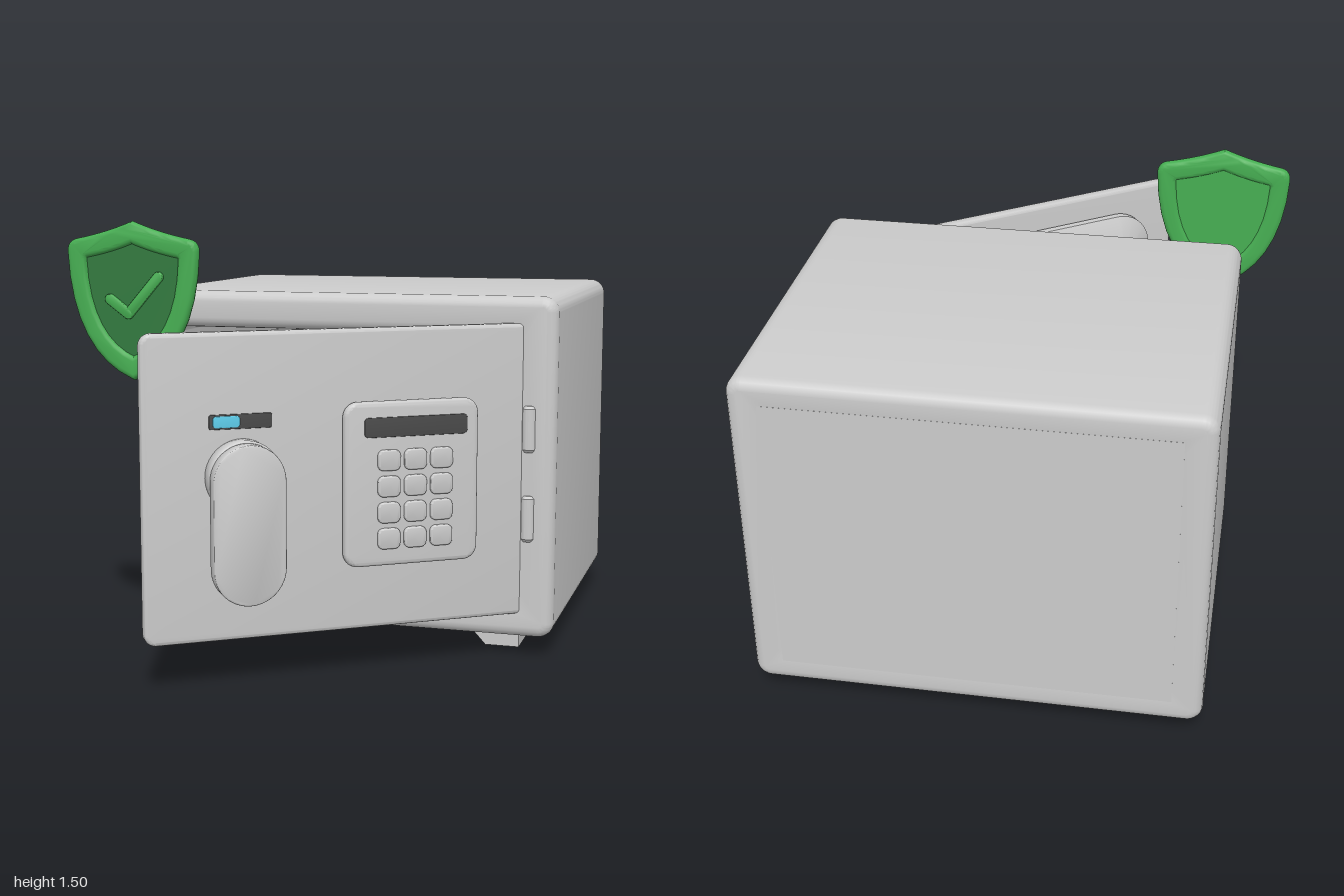
import * as THREE from 'three';
import { toCreasedNormals } from 'three/addons/utils/BufferGeometryUtils.js';

const mat = (color) => new THREE.MeshStandardMaterial({ color });
const GREY = mat(0xcccccc), DARK = mat(0x4a4a4a), BLUE = mat(0x5fd0ee);
const GREEN = mat(0x46ae52), DEEP = mat(0x32793f);

function add(parent, name, geometry, material, x = 0, y = 0, z = 0) {
  const mesh = new THREE.Mesh(geometry, material);
  mesh.name = name;
  mesh.position.set(x, y, z);
  parent.add(mesh);
  return mesh;
}

// Rounded rectangle outline centred on the origin
function roundRect(w, h, r, P = THREE.Shape) {
  const s = new P(), x = w / 2 - r, y = h / 2 - r;
  s.absarc(x, y, r, 0, Math.PI / 2);
  s.absarc(-x, y, r, Math.PI / 2, Math.PI);
  s.absarc(-x, -y, r, Math.PI, Math.PI * 1.5);
  s.absarc(x, -y, r, Math.PI * 1.5, Math.PI * 2);
  s.closePath();
  return s;
}

// Extrusion with bevels on both ends, filling z = 0..d
function extrude(shape, d, bevel, size = bevel, segments = 4) {
  const g = new THREE.ExtrudeGeometry(shape, {
    depth: d - 2 * bevel, bevelEnabled: bevel > 0, bevelThickness: bevel,
    bevelSize: size, bevelSegments: segments, curveSegments: 8,
  });
  g.translate(0, 0, bevel);
  return toCreasedNormals(g, 0.6);
}

// Rounded plate with outer size w x h x d
const plate = (w, h, d, r, b) => extrude(roundRect(w - 2 * b, h - 2 * b, Math.max(r - b, 0.003)), d, b);

// Shield outline with its tip at y = 0, scaled by s and raised by dy
function shield(s, dy, P = THREE.Shape) {
  const p = new P(), X = (v) => v * s, Y = (v) => v * s + dy;
  p.moveTo(X(0), Y(0));
  p.bezierCurveTo(X(0.14), Y(0.055), X(0.235), Y(0.2), X(0.243), Y(0.46));
  p.quadraticCurveTo(X(0.243), Y(0.483), X(0.22), Y(0.487));
  p.quadraticCurveTo(X(0.1), Y(0.51), X(0), Y(0.55));
  p.quadraticCurveTo(X(-0.1), Y(0.51), X(-0.22), Y(0.487));
  p.quadraticCurveTo(X(-0.243), Y(0.483), X(-0.243), Y(0.46));
  p.bezierCurveTo(X(-0.235), Y(0.2), X(-0.14), Y(0.055), X(0), Y(0));
  return p;
}

function buildBody() {
  const body = new THREE.Group();
  body.name = 'body';
  const cx = 0.073, cy = 0.66, b = 0.035;
  // Hollow shell and the wall that closes its back
  const shape = roundRect(1.525 - 2 * b, 1.18 - 2 * b, 0.02);
  shape.holes.push(roundRect(1.226 + 2 * b, 0.92 + 2 * b, 0.06, THREE.Path));
  add(body, 'shell', extrude(shape, 1.23, b), GREY, cx, cy, -1);
  add(body, 'backWall', new THREE.BoxGeometry(1.32, 1.01, 0.1), GREY, cx, cy, -0.9505);
  // Feet, sloped on the inner side
  for (const side of [-1, 1]) for (const z of [-0.863, -0.08]) {
    const foot = new THREE.Shape([[0.625, 0], [0.625, 0.09], [0.42, 0.09], [0.44, 0.07], [0.505, 0]]
      .map(([x, y]) => new THREE.Vector2(x * side, y)));
    add(body, 'foot', extrude(foot, 0.185, 0), GREY, cx, 0, z);
  }
  // Hinge barrels
  const profile = [[0, -0.08], [0.018, -0.08], [0.025, -0.07], [0.025, 0.07], [0.018, 0.08], [0, 0.08]]
    .map(([x, y]) => new THREE.Vector2(x, y));
  for (const y of [0.49, 0.8]) {
    add(body, 'hinge', toCreasedNormals(new THREE.LatheGeometry(profile, 20), 0.6), GREY, 0.743, y, 0.218);
  }
  return body;
}

// Door built with its hinge edge at x = 0 and its front face at z = 0
function buildDoor() {
  const door = new THREE.Group();
  door.name = 'door';
  add(door, 'doorPanel', plate(1.345, 1.005, 0.045, 0.04, 0.012), GREY, -0.6725, 0.6575, -0.045);

  // Sloped inner panel, its front flattened into the door
  const inner = extrude(roundRect(0.87, 0.59, 0.03), 0.14, 0.056, 0.115, 1);
  const p = inner.attributes.position;
  for (let i = 0; i < p.count; i++) p.setZ(i, Math.min(p.getZ(i), 0.11));
  add(door, 'innerPanel', toCreasedNormals(inner, 0.5), GREY, -0.67, 0.6575, -0.141);

  // Locking bolts
  for (const y of [0.53, 0.73]) {
    add(door, 'bolt', new THREE.CylinderGeometry(0.037, 0.037, 0.25, 24), GREY, -1.165, y, -0.084)
      .rotation.z = Math.PI / 2;
  }

  // Keypad with display and keys
  add(door, 'keypad', plate(0.475, 0.55, 0.035, 0.05, 0.014), GREY, -0.4425, 0.645, -0.003);
  add(door, 'display', plate(0.365, 0.066, 0.01, 0.015, 0.002), DARK, -0.43, 0.835, 0.025);
  for (let row = 0; row < 4; row++) for (let col = 0; col < 3; col++) {
    add(door, 'key', plate(0.078, 0.07, 0.025, 0.02, 0.006), GREY,
      -0.527 + col * 0.093, 0.463 + row * 0.0875, 0.02);
  }

  // Status slot with its slider
  add(door, 'statusSlot', plate(0.21, 0.048, 0.01, 0.008, 0.002), DARK, -1.022, 0.873, -0.006);
  add(door, 'statusSlider', plate(0.09, 0.038, 0.01, 0.012, 0.002), BLUE, -1.07, 0.873, -0.003);

  // Turning handle on its round base
  add(door, 'handleBase', extrude(roundRect(0.228, 0.228, 0.114), 0.06, 0.008), GREY, -1.02, 0.695, -0.005);
  add(door, 'handle', plate(0.24, 0.52, 0.052, 0.12, 0.006), GREY, -1.02, 0.55, 0.053);

  door.position.set(0.745, 0, 0.212);
  door.rotation.y = THREE.MathUtils.degToRad(35.6);
  return door;
}

function buildShield() {
  const badge = new THREE.Group();
  badge.name = 'shield';
  // Rounded rim around a thinner centre
  const rim = shield(0.925, 0.022);
  rim.holes.push(shield(0.77, 0.067, THREE.Path));
  add(badge, 'shieldRim', extrude(rim, 0.042, 0.018), GREEN);
  add(badge, 'shieldBack', extrude(shield(0.78, 0.064), 0.012, 0), GREEN, 0, 0, 0.008);
  add(badge, 'shieldFace', extrude(shield(0.78, 0.064), 0.01, 0), DEEP, 0, 0, 0.02);
  // Check mark from two rounded strokes
  const pts = [[-0.083, 0.282], [-0.015, 0.232], [0.097, 0.36]];
  for (let i = 0; i < 2; i++) {
    const [a, b] = [pts[i], pts[i + 1]];
    const dx = b[0] - a[0], dy = b[1] - a[1];
    add(badge, 'checkStroke', plate(Math.hypot(dx, dy) + 0.036, 0.036, 0.018, 0.018, 0.004), GREEN,
      (a[0] + b[0]) / 2, (a[1] + b[1]) / 2, 0.024).rotation.z = Math.atan2(dy, dx);
  }
  badge.position.set(-0.597, 0.95, 0.449);
  return badge;
}

export function createModel() {
  const safe = new THREE.Group();
  safe.name = 'safe';
  safe.add(buildBody(), buildDoor(), buildShield());
  return safe;
}
